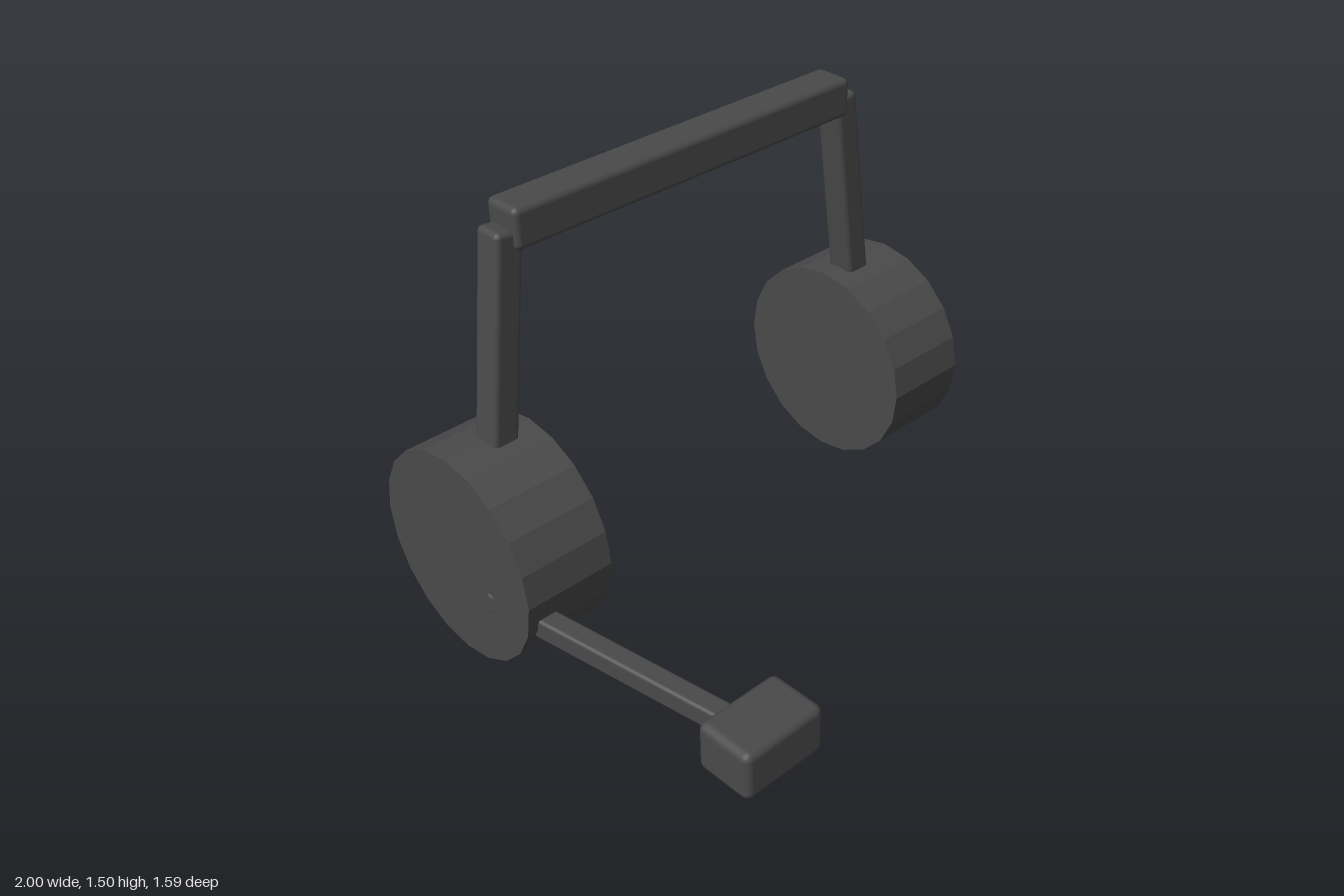
import * as THREE from 'three';
import { RoundedBoxGeometry } from 'three/addons/geometries/RoundedBoxGeometry.js';

export function createModel() {
  const group = new THREE.Group();
  group.name = 'headset';
  const charcoal = new THREE.MeshStandardMaterial({ color: 0x4a4a4a });
  charcoal.name = 'charcoal';

  const add = (name, geometry, x, y, z) => {
    const mesh = new THREE.Mesh(geometry, charcoal);
    mesh.name = name;
    mesh.position.set(x, y, z);
    group.add(mesh);
    return mesh;
  };
  const block = (w, h, d, r) => new RoundedBoxGeometry(w, h, d, 2, r);

  const midX = 0.005, cupZ = -0.427;

  // Bar over the head
  add('headband', block(1.41, 0.14, 0.14, 0.022), midX, 1.435, cupZ);

  // Ear cups (20 flat sides) and the slanted arms holding them
  for (const [label, side] of [['left', 1], ['right', -1]]) {
    const cup = new THREE.CylinderGeometry(0.37, 0.37, 0.325, 20).toNonIndexed();
    cup.rotateZ(Math.PI / 2);
    cup.computeVertexNormals();
    add(label + 'EarCup', cup, midX + side * 0.8325, 0.37, cupZ);

    const arm = add(label + 'Arm', block(0.1, 0.74, 0.106, 0.02), midX + side * 0.755, 1.066, cupZ);
    arm.rotation.z = side * 0.122;
  }

  // Microphone boom running forward from the right cup
  const start = new THREE.Vector3(-0.963, 0.28, -0.283);
  const end = new THREE.Vector3(-0.747, 0.191, 0.65);
  const middle = start.clone().add(end).multiplyScalar(0.5);
  const boom = add('microphoneBoom', block(0.075, 0.075, start.distanceTo(end), 0.012), middle.x, middle.y, middle.z);
  boom.lookAt(end);

  // Microphone
  add('microphone', block(0.315, 0.178, 0.212, 0.028), -0.732, 0.189, 0.682);

  return group;
}
